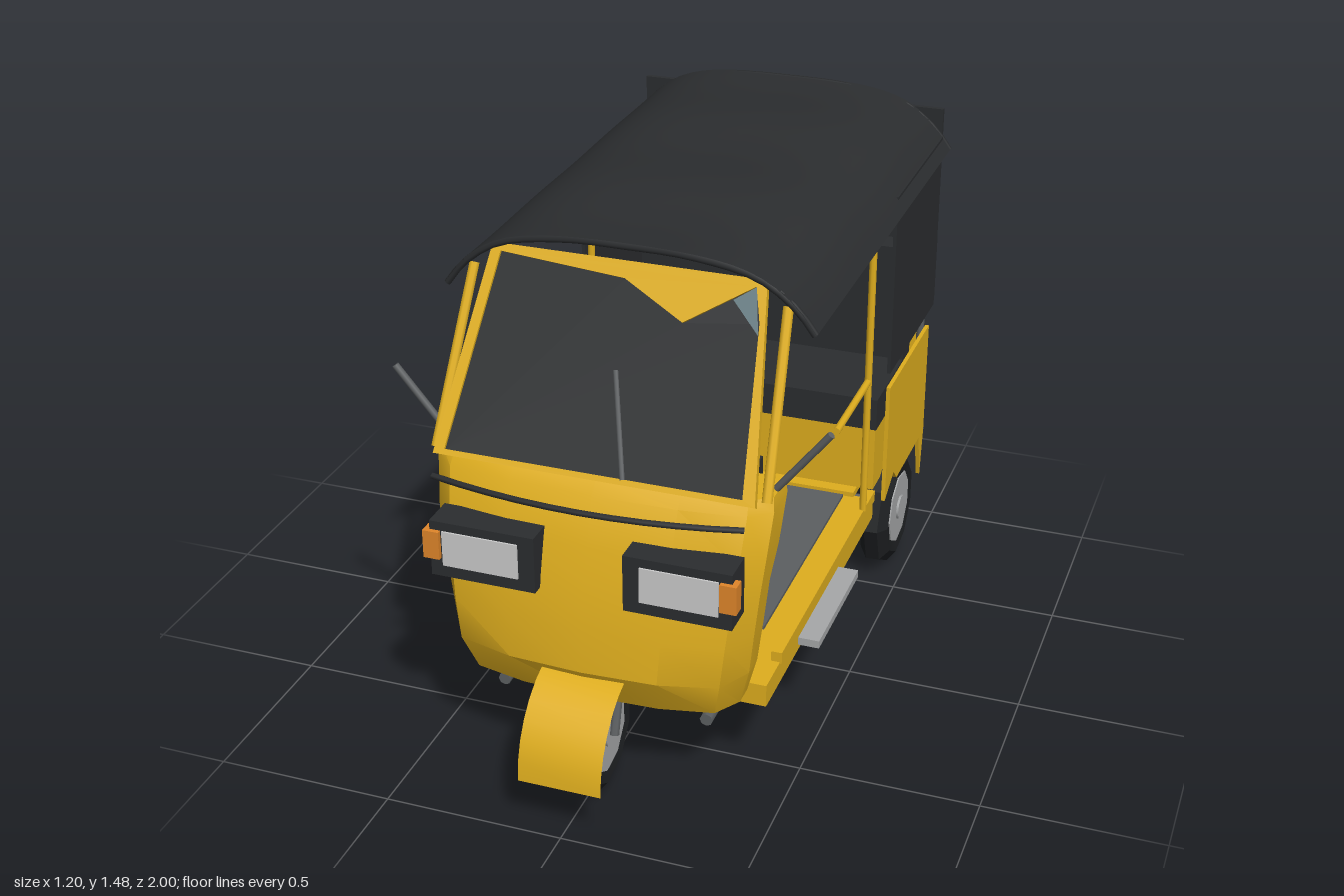
import * as THREE from 'three';
import { toCreasedNormals } from 'three/addons/utils/BufferGeometryUtils.js';

const paint = (color) => new THREE.MeshStandardMaterial({ color, side: THREE.DoubleSide });
const yellow = paint(0xdfae1e), black = paint(0x2b2d2f), rubber = paint(0x1d1f21), steel = paint(0x5c5f61),
  silver = paint(0xa6a8a9), lens = paint(0xcfd1cf), glass = paint(0x667c82), orange = paint(0xe0862a), red = paint(0xa02020);

export function createModel() {
  const model = new THREE.Group();
  const add = (name, geo, mat, parent = model) => {
    const m = new THREE.Mesh(geo, mat);
    m.name = name;
    parent.add(m);
    return m;
  };
  // box given by its min and max on each axis
  const box = (name, mat, x0, x1, y0, y1, z0, z1) => {
    const m = add(name, new THREE.BoxGeometry(x1 - x0, y1 - y0, z1 - z0), mat);
    m.position.set((x0 + x1) / 2, (y0 + y1) / 2, (z0 + z1) / 2);
    return m;
  };
  // straight round bar between two points
  const bar = (name, mat, a, b, r) => {
    const p = new THREE.Vector3(...a), q = new THREE.Vector3(...b);
    const m = add(name, new THREE.CylinderGeometry(r, r, p.distanceTo(q), 8), mat);
    m.position.copy(p).add(q).multiplyScalar(0.5);
    m.quaternion.setFromUnitVectors(new THREE.Vector3(0, 1, 0), q.sub(p).normalize());
    return m;
  };
  const shapeOf = (pts) => new THREE.Shape(pts.map(([x, y]) => new THREE.Vector2(x, y)));
  // surface through equally long rows of points
  const loft = (rows) => {
    const n = rows[0].length, index = [];
    for (let i = 0; i < rows.length - 1; i++) for (let j = 0; j < n - 1; j++) {
      const a = i * n + j, b = a + n;
      index.push(a, a + 1, b, a + 1, b + 1, b);
    }
    const g = new THREE.BufferGeometry();
    g.setAttribute('position', new THREE.Float32BufferAttribute(rows.flat(2), 3));
    g.setIndex(index);
    return toCreasedNormals(g, 0.5);
  };

  // front cowl: y, half width, front z, side corner z, rear edge z
  const cowl = [
    [0.3, 0.38, 0.61, 0.61, 0.61], [0.3, 0.38, 0.78, 0.67, 0.61], [0.41, 0.41, 0.835, 0.69, 0.62],
    [0.53, 0.425, 0.825, 0.7, 0.62], [0.66, 0.44, 0.8, 0.7, 0.62], [0.75, 0.45, 0.775, 0.69, 0.58],
    [0.88, 0.46, 0.735, 0.66, 0.55], [0.915, 0.455, 0.7, 0.65, 0.54], [0.915, 0.455, 0.54, 0.54, 0.54],
  ].map(([y, w, zf, zs, zb]) => {
    const half = [[1, zb], [1, zs], [0.88, zs + (zf - zs) * 0.65], [0.5, zs + (zf - zs) * 0.93]];
    return [...half.map(([k, z]) => [-k * w, y, z]), [0, y, zf], ...half.reverse().map(([k, z]) => [k * w, y, z])];
  });
  add('frontCowl', loft(cowl), yellow);
  add('cowlTrim', new THREE.TubeGeometry(new THREE.QuadraticBezierCurve3(new THREE.Vector3(-0.42, 0.885, 0.78),
    new THREE.Vector3(0, 0.868, 0.86), new THREE.Vector3(0.42, 0.885, 0.78)), 10, 0.009, 6), black);
  box('dashboard', black, -0.36, 0.36, 0.83, 0.91, 0.44, 0.55);
  bar('handlebar', rubber, [-0.22, 0.83, 0.4], [0.22, 0.83, 0.4], 0.018);
  bar('steeringColumn', steel, [0, 0.32, 0.6], [0, 0.83, 0.42], 0.02);

  // windshield, leaning back
  const screen = new THREE.Group();
  screen.name = 'windshield';
  screen.position.set(0, 0.92, 0.725);
  screen.rotation.x = -0.527;
  model.add(screen);
  const frame = shapeOf([[-0.435, 0], [0.435, 0], [0.37, 0.56], [-0.37, 0.56]]);
  const pane = [[-0.405, 0.015], [0.4, 0.015], [0.368, 0.45], [0.345, 0.54], [0.17, 0.425], [0, 0.515], [-0.345, 0.54]];
  frame.holes.push(shapeOf(pane));
  add('windshieldFrame', new THREE.ExtrudeGeometry(frame, { depth: 0.02, bevelEnabled: false }), yellow, screen);
  const front = black.clone(), back = glass.clone();
  front.side = THREE.FrontSide;
  back.side = THREE.BackSide;
  add('windshieldOuter', new THREE.ShapeGeometry(shapeOf(pane)), front, screen).position.z = 0.012;
  add('windshieldInner', new THREE.ShapeGeometry(shapeOf(pane)), back, screen).position.z = 0.008;
  add('windshieldCorner', new THREE.ShapeGeometry(shapeOf([[0.29, 0.5], [0.368, 0.42], [0.345, 0.54]])), glass, screen).position.z = 0.015;
  bar('wiper', steel, [0.09, 0.95, 0.75], [0.03, 1.19, 0.63], 0.007);

  // canopy: arched sheet with light sag between the hoops
  const roof = new THREE.PlaneGeometry(1.01, 1.43, 28, 24).rotateX(-Math.PI / 2);
  const rp = roof.attributes.position;
  for (let i = 0; i < rp.count; i++) {
    const x = rp.getX(i), z = rp.getZ(i) - 0.235, t = Math.abs(x) / 0.505;
    const sag = 0.009 * Math.cos((z - 0.03) * 11.2) * (1 - t);
    rp.setXYZ(i, x, 1.466 + sag - 0.03 * t * t - 0.146 * t ** 5, z);
  }
  roof.computeVertexNormals();
  add('canopy', roof, black);
  for (const z of [0.47, -0.94]) {
    const pts = [-1, -0.9, -0.7, -0.35, 0, 0.35, 0.7, 0.9, 1].map((t) =>
      new THREE.Vector3(t * 0.5, 1.457 - 0.03 * t * t - 0.14 * Math.abs(t) ** 5, z));
    add('canopyHoop', new THREE.TubeGeometry(new THREE.CatmullRomCurve3(pts), 24, 0.01, 6), black);
  }

  // rear curtain with window
  box('rearCurtainTop', black, -0.475, 0.475, 1.25, 1.41, -0.96, -0.945);
  box('rearCurtainBottom', black, -0.475, 0.475, 0.78, 1.0, -0.965, -0.945);
  box('rearWindow', glass, -0.25, 0.25, 0.99, 1.26, -0.956, -0.95);

  // floor and chassis
  box('floor', yellow, -0.43, 0.43, 0.25, 0.315, -0.47, 0.6);
  box('floorMat', steel, -0.34, 0.34, 0.315, 0.325, -0.45, 0.34);
  box('rearFloor', yellow, -0.37, 0.37, 0.31, 0.33, -0.93, -0.46);
  box('engine', steel, -0.175, 0.175, 0.19, 0.31, -0.86, -0.6);
  bar('rearAxle', steel, [-0.4, 0.18, -0.68], [0.4, 0.18, -0.68], 0.022);
  bar('muffler', rubber, [0.21, 0.205, -0.62], [0.21, 0.19, -0.86], 0.03);
  bar('exhaustPipe', steel, [0.21, 0.19, -0.8], [0.21, 0.185, -0.96], 0.014);

  // driver seat and passenger bench
  box('driverSeatBase', yellow, -0.17, 0.17, 0.32, 0.59, 0.09, 0.32);
  box('driverSeatCushion', black, -0.21, 0.21, 0.59, 0.67, 0.06, 0.355);
  box('driverSeatBack', black, -0.21, 0.21, 0.67, 0.945, 0.015, 0.062);
  box('benchBase', yellow, -0.42, 0.42, 0.33, 0.55, -0.85, -0.5);
  box('benchCushion', black, -0.43, 0.43, 0.55, 0.65, -0.85, -0.47);
  box('benchBack', black, -0.43, 0.43, 0.65, 1.02, -0.85, -0.77);

  // rear body
  box('rearPanel', yellow, -0.465, 0.465, 0.32, 0.69, -0.94, -0.925);
  box('enginePanel', yellow, -0.24, 0.24, 0.35, 0.6, -0.95, -0.94);
  for (let i = 0; i < 6; i++) box('ventSlat', rubber, -0.14, 0.14, 0.4 + i * 0.028, 0.411 + i * 0.028, -0.954, -0.948);
  box('blankPlate', lens, -0.1, 0.1, 0.625, 0.665, -0.955, -0.94);
  add('rearBumper', new THREE.TubeGeometry(new THREE.QuadraticBezierCurve3(new THREE.Vector3(-0.46, 0.32, -0.965),
    new THREE.Vector3(0, 0.32, -1.005), new THREE.Vector3(0.46, 0.32, -0.965)), 10, 0.015, 6), steel);

  // faceted wheel, axle along x
  const wheel = (name, x, z, w) => {
    const g = new THREE.Group();
    g.name = name;
    g.position.set(x, 0.182, z);
    g.rotation.z = Math.PI / 2;
    model.add(g);
    const profile = [[0.1, -0.8], [0.15, -1], [0.185, -0.45], [0.187, 0.45], [0.15, 1], [0.1, 0.8]];
    const tyre = new THREE.LatheGeometry(profile.map(([r, y]) => new THREE.Vector2(r, y * w)), 9);
    add('tyre', toCreasedNormals(tyre, 0.3), rubber, g);
    add('hub', toCreasedNormals(new THREE.CylinderGeometry(0.115, 0.115, w * 1.9, 9), 0.3), silver, g);
    add('hubCap', new THREE.CylinderGeometry(0.04, 0.04, w * 2.2, 9), silver, g);
  };
  wheel('frontWheel', 0, 0.755, 0.047);

  // front mudguard
  const guard = [];
  for (let i = 0; i <= 14; i++) {
    const a = Math.PI * i / 14, z = 0.755 + 0.245 * Math.cos(a), y = 0.155 + 0.25 * Math.sin(a);
    guard.push([[-0.115, y, z], [0.115, y, z]]);
  }
  add('frontMudguard', loft(guard), yellow);

  // rear side panel outline in (z, y), with a pointed mud flap
  const side = shapeOf([[-0.465, 0.7], [-0.46, 0.32], [-0.56, 0.37], [-0.6, 0.33], [-0.88, 0.33], [-0.918, 0.18], [-0.94, 0.33], [-0.94, 0.7]]);
  const sideGeo = new THREE.ExtrudeGeometry(side, { depth: 0.012, bevelEnabled: false }).rotateY(-Math.PI / 2);

  for (const s of [-1, 1]) {
    const mbox = (name, mat, x0, x1, ...r) => box(name, mat, Math.min(s * x0, s * x1), Math.max(s * x0, s * x1), ...r);
    const mbar = (name, mat, [xa, ...a], [xb, ...b], r) => bar(name, mat, [s * xa, ...a], [s * xb, ...b], r);
    wheel('rearWheel', s * 0.42, -0.68, 0.046);
    add('rearSidePanel', sideGeo, yellow).position.x = s * 0.463 + 0.006;
    mbox('sideCurtain', black, 0.472, 0.482, 0.78, 1.33, -0.93, -0.4);
    mbox('rearCurtainSide', black, 0.25, 0.475, 1.0, 1.24, -0.958, -0.945);
    mbox('tailLight', red, 0.33, 0.385, 0.56, 0.62, -0.955, -0.94);
    // headlight with indicator
    mbox('headlightFrame', black, 0.12, 0.41, 0.625, 0.785, 0.74, 0.835);
    mbox('headlightLens', lens, 0.165, 0.375, 0.66, 0.76, 0.83, 0.84);
    mbox('indicator', orange, 0.38, 0.425, 0.68, 0.76, 0.81, 0.848);
    mbar('mirrorArm', steel, [0.45, 0.92, 0.61], [0.59, 1.1, 0.62], 0.01);
    mbar('frontPillar', yellow, [0.45, 0.92, 0.69], [0.425, 1.35, 0.46], 0.014);
    mbar('middlePost', yellow, [0.43, 0.34, -0.35], [0.43, 1.32, -0.35], 0.011);
    mbar('grabRail', yellow, [0.43, 0.77, -0.015], [0.43, 0.77, -0.35], 0.011);
    mbar('rearPost', steel, [0.445, 0.6, -0.925], [0.445, 1.33, -0.925], 0.012);
    mbox('sill', yellow, 0.405, 0.435, 0.31, 0.345, -0.47, 0.48);
    mbox('sideStep', silver, 0.43, 0.49, 0.267, 0.29, -0.09, 0.31);
    mbar('chassisTube', steel, [0.29, 0.227, 0.68], [0.29, 0.227, -0.52], 0.018);
    mbar('axleArm', steel, [0.29, 0.227, -0.5], [0.29, 0.18, -0.68], 0.018);
    mbar('bumperMount', steel, [0.3, 0.32, -0.93], [0.3, 0.32, -0.98], 0.012);
    mbar('frontFork', steel, [0.06, 0.18, 0.76], [0.06, 0.33, 0.715], 0.014);
  }
  return model;
}
